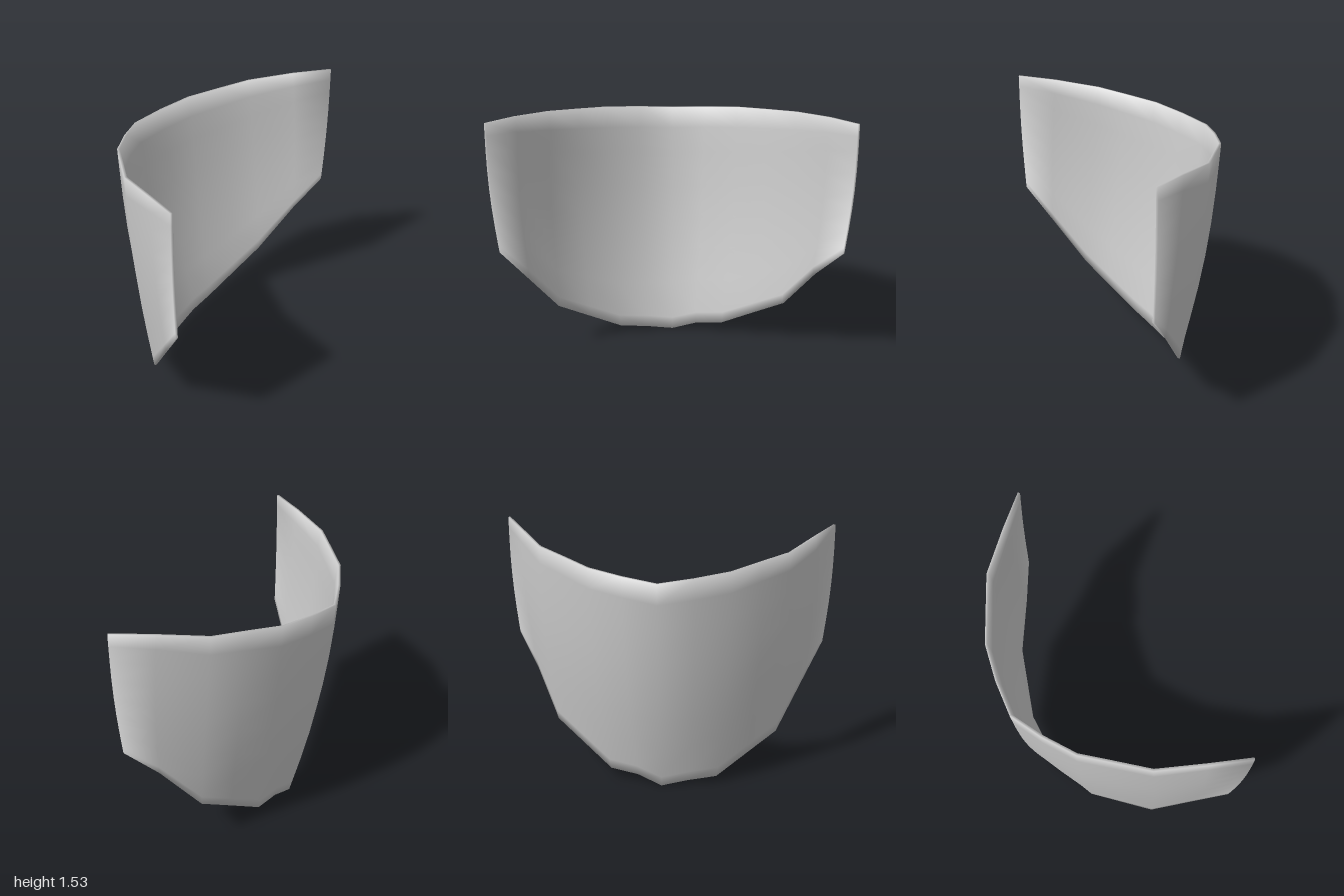
import * as THREE from 'three';

// Half of the curved plate, from its middle to one side: [x, y, z] on the top rim and on the lower rim
const HALF = [
  [[-0.415, 1.40, 0], [-0.15, 0, 0]],
  [[-0.36, 1.418, 0.2], [-0.12, 0.03, 0.165]],
  [[-0.28, 1.438, 0.4], [-0.09, 0.05, 0.335]],
  [[-0.155, 1.46, 0.56], [0.005, 0.168, 0.515]],
  [[-0.03, 1.48, 0.72], [0.10, 0.285, 0.695]],
  [[0.20, 1.515, 0.875], [0.27, 0.565, 0.85]],
  [[0.40, 1.535, 1], [0.40, 0.78, 0.97]],
];
const ROWS = [0, 0.09, 0.2, 0.35, 0.5, 0.65, 0.8, 0.95, 1];

// Second half: mirrored in z, with a slightly higher lower rim
function mirrorColumn([top, low], i) {
  const lift = i < 6 ? 0.025 : 0;
  return [[top[0], top[1], -top[2]], [low[0], low[1] + lift, -low[2] + lift * 0.6]];
}

function shellGeometry() {
  const columns = [...HALF.slice(1).map((c, i) => mirrorColumn(c, i + 1)).reverse(), ...HALF];
  const nc = columns.length, nr = ROWS.length, n = nc * nr;
  const id = (i, j) => i * nr + j;

  // Outer skin: straight columns bowed outwards
  const outer = [];
  for (const [top, low] of columns) {
    for (const t of ROWS) {
      const p = new THREE.Vector3(...top).lerp(new THREE.Vector3(...low), t);
      const out = new THREE.Vector3(p.x - 0.2, 0, p.z).normalize();
      outer.push(p.addScaledVector(out, (0.04 - 0.025 * top[2] ** 2) * Math.sin(Math.PI * t)));
    }
  }
  const outerFaces = [], innerFaces = [], rimFaces = [];
  for (let i = 0; i < nc - 1; i++) {
    for (let j = 0; j < nr - 1; j++) {
      const a = id(i, j), b = id(i + 1, j), c = id(i + 1, j + 1), d = id(i, j + 1);
      outerFaces.push(a, d, b, b, d, c);
      innerFaces.push(a + n, b + n, d + n, b + n, c + n, d + n);
    }
  }

  // Inner skin: the outer one moved along its normals, thinner at the rim
  const skin = new THREE.BufferGeometry().setFromPoints(outer);
  skin.setIndex(outerFaces);
  skin.computeVertexNormals();
  const inner = outer.map((p, k) => {
    const i = Math.floor(k / nr), j = k % nr;
    const edge = i === 0 || i === nc - 1 || j === 0 || j === nr - 1;
    const normal = new THREE.Vector3().fromBufferAttribute(skin.attributes.normal, k);
    return p.clone().addScaledVector(normal, edge ? -0.014 : -0.024);
  });

  // Rim strip closing the two skins
  const loop = [];
  for (let j = 0; j < nr - 1; j++) loop.push(id(0, j));
  for (let i = 0; i < nc - 1; i++) loop.push(id(i, nr - 1));
  for (let j = nr - 1; j > 0; j--) loop.push(id(nc - 1, j));
  for (let i = nc - 1; i > 0; i--) loop.push(id(i, 0));
  loop.forEach((a, k) => {
    const b = loop[(k + 1) % loop.length];
    rimFaces.push(a, a + n, b, b, a + n, b + n);
  });

  const geometry = new THREE.BufferGeometry().setFromPoints([...outer, ...inner]);
  geometry.setIndex([...outerFaces, ...innerFaces, ...rimFaces]);
  geometry.computeVertexNormals();

  // Lean the rim normals outwards so the edge looks softly rounded
  const points = [...outer, ...inner], normals = geometry.attributes.normal;
  for (const k of loop) {
    const i = Math.floor(k / nr), j = k % nr;
    const inset = id(THREE.MathUtils.clamp(i, 1, nc - 2), THREE.MathUtils.clamp(j, 1, nr - 2));
    for (const s of [0, n]) {
      const lean = points[k + s].clone().sub(points[inset + s]).normalize();
      const v = new THREE.Vector3().fromBufferAttribute(normals, k + s).addScaledVector(lean, 0.6).normalize();
      normals.setXYZ(k + s, v.x, v.y, v.z);
    }
  }
  return geometry;
}

export function createModel() {
  const group = new THREE.Group();
  const material = new THREE.MeshStandardMaterial({ color: 0xcccccc, side: THREE.DoubleSide });
  const plate = new THREE.Mesh(shellGeometry(), material);
  plate.name = 'curvedPlate';
  group.add(plate);
  return group;
}
